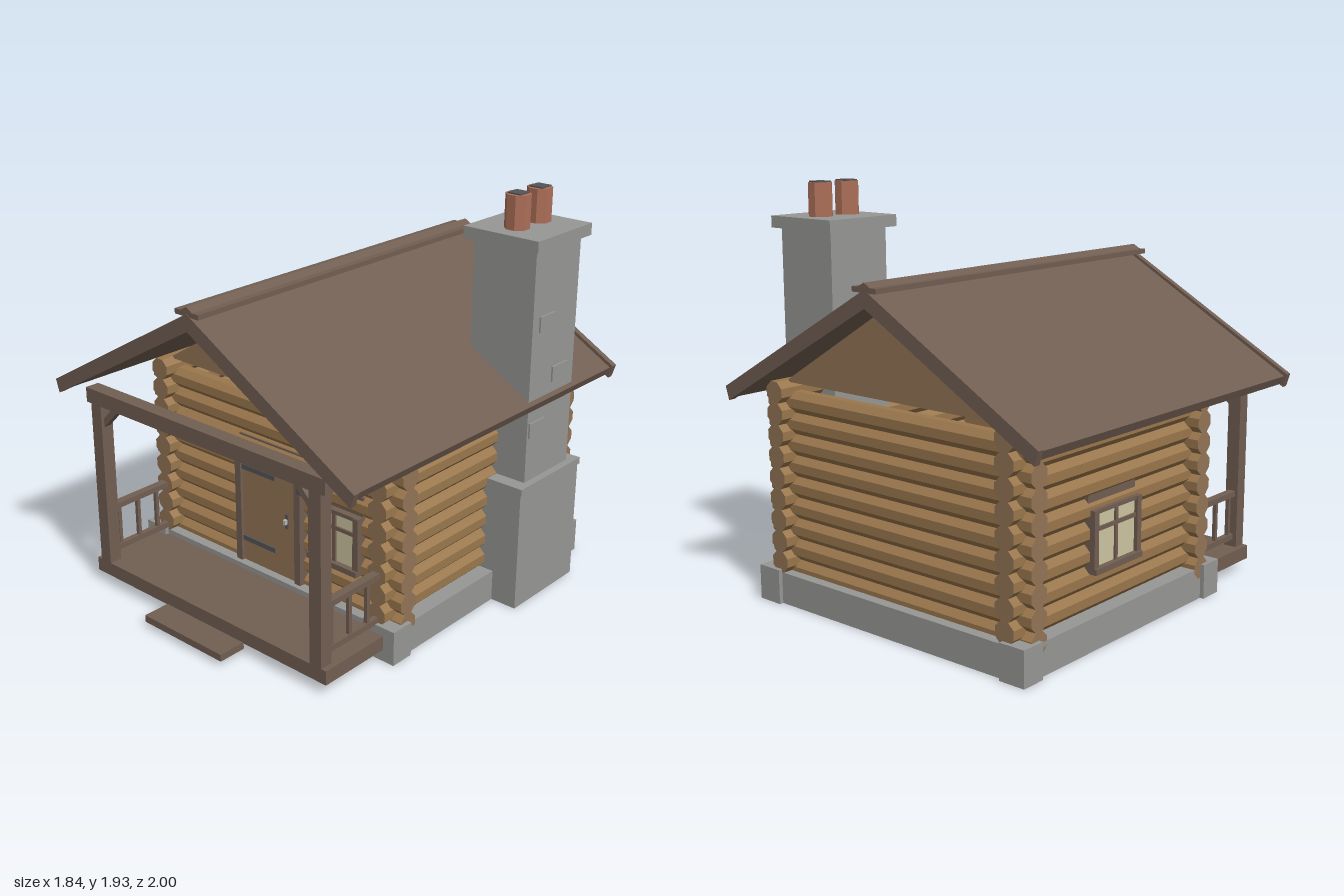
import * as THREE from 'three';

const mat = (name, color) => {
  const m = new THREE.MeshStandardMaterial({ color });
  m.name = name;
  return m;
};

export function createModel() {
  const root = new THREE.Group();
  root.name = 'logCabin';
  const M = {
    log: mat('log wood', 0x9a774d),
    plank: mat('plank wood', 0x927455),
    trim: mat('dark timber', 0x715e52),
    stone: mat('stone', 0x979795),
    clay: mat('clay', 0xad6f58),
    iron: mat('iron', 0x545557),
    glass: mat('window glass', 0xcdc4a0),
    metal: mat('bright metal', 0xb8b5aa),
  };

  const add = (parent, name, geo, m) => {
    const mesh = new THREE.Mesh(geo, m);
    mesh.name = name;
    parent.add(mesh);
    return mesh;
  };
  // Box given by its minimum and maximum on each axis
  const box = (name, m, x0, x1, y0, y1, z0, z1, parent = root) => {
    const b = add(parent, name, new THREE.BoxGeometry(x1 - x0, y1 - y0, z1 - z0), m);
    b.position.set((x0 + x1) / 2, (y0 + y1) / 2, (z0 + z1) / 2);
    return b;
  };
  // Outline in x/y, extruded from z0 to z1
  const prism = (name, m, pts, z0, z1) => {
    const shape = new THREE.Shape(pts.map(([x, y]) => new THREE.Vector2(x, y)));
    const geo = new THREE.ExtrudeGeometry(shape, { depth: z1 - z0, bevelEnabled: false });
    add(root, name, geo.translate(0, 0, z0), m);
  };

  // Stone footing with corner blocks
  box('foundation', M.stone, -0.78, 0.78, 0, 0.15, -0.92, 0.475);
  for (const s of [-1, 1]) {
    const x0 = s > 0 ? 0.67 : -0.8;
    box('cornerBlock', M.stone, x0, x0 + 0.13, 0, 0.165, 0.375, 0.495);
    box('cornerBlock', M.stone, x0, x0 + 0.13, 0, 0.165, -0.94, -0.82);
  }

  // Interlocking eight-sided logs, the two directions half a course apart
  const logGeo = (len) => {
    const g = new THREE.CylinderGeometry(0.054, 0.054, len, 8, 1, false, Math.PI / 8).toNonIndexed();
    g.computeVertexNormals();
    const sides = 8 * 6;
    g.clearGroups();
    g.addGroup(0, sides, 0);
    g.addGroup(sides, g.attributes.position.count - sides, 1);
    return g;
  };
  const logMats = [M.log, M.plank];
  const crossGeo = logGeo(1.56).rotateZ(Math.PI / 2);
  const sideGeo = logGeo(1.395).rotateX(Math.PI / 2);
  for (let i = 0; i < 9; i++) {
    for (const z of [0.375, -0.82])
      add(root, z > 0 ? 'frontLog' : 'backLog', crossGeo, logMats).position.set(0, 0.15 + i * 0.1, z);
    for (const x of [-0.68, 0.68])
      add(root, 'sideLog', sideGeo, logMats).position.set(x, 0.2 + i * 0.1, -0.2225);
  }

  // Gables
  const gable = [[-0.68, 1.04], [0.68, 1.04], [0, 1.455]];
  prism('frontGable', M.plank, gable, 0.345, 0.405);
  prism('backGable', M.plank, gable, -0.85, -0.79);

  // Roof, barge boards and ridge cap
  const chevron = (top, ox, oy, ix, iy, under) =>
    [[0, top], [-ox, oy], [-ix, iy], [0, under], [ix, iy], [ox, oy]];
  prism('roof', M.trim, chevron(1.52, 0.905, 1.0, 0.885, 0.96, 1.47), -0.976, 0.872);
  const barge = chevron(1.535, 0.92, 1.01, 0.9, 0.947, 1.457);
  prism('frontBargeBoard', M.trim, barge, 0.87, 0.9);
  prism('backBargeBoard', M.trim, barge, -1, -0.97);
  prism('ridgeCap', M.trim, [[-0.07, 1.522], [0.07, 1.522], [0.07, 1.545], [0.035, 1.545],
    [0, 1.565], [-0.035, 1.545], [-0.07, 1.545]], -1, 0.898);

  // Porch deck, step, beam
  box('porchDeck', M.trim, -0.74, 0.74, 0.057, 0.125, 0.47, 0.865);
  box('porchStep', M.trim, -0.247, 0.247, 0.026, 0.06, 0.86, 1.0);
  box('porchBeam', M.trim, -0.74, 0.74, 0.935, 1.007, 0.797, 0.868);
  // Posts, braces and side railings
  for (const s of [-1, 1]) {
    const x = s * 0.68;
    box('porchPost', M.trim, x - 0.033, x + 0.033, 0.12, 0.94, 0.8, 0.865);
    const brace = add(root, 'porchBrace', new THREE.BoxGeometry(0.15, 0.03, 0.035), M.trim);
    brace.position.set(s * 0.603, 0.893, 0.832);
    brace.rotation.z = -s * Math.PI / 4;
    box('topRail', M.trim, x - 0.02, x + 0.02, 0.383, 0.41, 0.47, 0.805);
    box('bottomRail', M.trim, x - 0.014, x + 0.014, 0.162, 0.19, 0.47, 0.805);
    for (const z of [0.77, 0.653, 0.536])
      box('baluster', M.trim, x - 0.009, x + 0.009, 0.18, 0.39, z - 0.009, z + 0.009);
  }

  // Door with frame, strap hinges and handle
  box('door', M.plank, -0.172, 0.172, 0.14, 0.697, 0.38, 0.435);
  for (const x of [-0.188, 0.188])
    box('doorJamb', M.trim, x - 0.018, x + 0.018, 0.14, 0.7, 0.38, 0.452);
  box('doorLintel', M.trim, -0.208, 0.208, 0.697, 0.79, 0.38, 0.414);
  for (const y of [0.268, 0.638])
    box('doorHinge', M.iron, -0.17, 0.038, y - 0.012, y + 0.012, 0.433, 0.442);
  box('handlePlate', M.iron, 0.106, 0.122, 0.41, 0.482, 0.433, 0.442);
  box('doorHandle', M.metal, 0.107, 0.121, 0.435, 0.458, 0.44, 0.458);

  // Wall lantern
  box('lantern', M.iron, 0.215, 0.26, 0.635, 0.7, 0.435, 0.482);
  box('lanternBracket', M.iron, 0.23, 0.246, 0.66, 0.712, 0.4, 0.44);

  // Framed four-pane window, facing +z, origin on the wall's centre line
  const addWindow = (name, w) => {
    const g = new THREE.Group();
    g.name = name;
    root.add(g);
    const h = w / 2;
    box('glass', M.glass, -h + 0.02, h - 0.02, -0.12, 0.13, 0.02, 0.057, g);
    for (const s of [-1, 1])
      box('windowJamb', M.trim, s * (h - 0.015) - 0.015, s * (h - 0.015) + 0.015, -0.14, 0.138, 0.02, 0.075, g);
    box('windowHead', M.trim, -h, h, 0.122, 0.14, 0.02, 0.07, g);
    box('windowLintel', M.trim, -h, h, 0.138, 0.232, 0, 0.038, g);
    box('windowSill', M.trim, -h, h, -0.142, -0.115, 0.02, 0.085, g);
    box('mullion', M.trim, -0.009, 0.009, -0.12, 0.13, 0.03, 0.066, g);
    box('glazingBar', M.trim, -h + 0.02, h - 0.02, 0.043, 0.061, 0.03, 0.066, g);
    return g;
  };
  addWindow('frontWindow', 0.295).position.set(0.4025, 0.465, 0.375);
  const leftWindow = addWindow('sideWindow', 0.34);
  leftWindow.position.set(-0.68, 0.465, -0.25);
  leftWindow.rotation.y = -Math.PI / 2;

  // Chimney
  box('chimneyBase', M.stone, 0.6, 0.912, 0, 0.59, -0.725, -0.255);
  box('chimneyShoulder', M.stone, 0.6, 0.92, 0.585, 0.617, -0.73, -0.25);
  box('chimneyStack', M.stone, 0.555, 0.885, 0.6, 1.715, -0.665, -0.32);
  box('chimneyCap', M.stone, 0.52, 0.915, 1.71, 1.765, -0.7, -0.283);
  // Raised stones on the stack
  for (const [y, z] of [[1.365, -0.427], [1.1, -0.547], [0.87, -0.387]])
    box('raisedStone', M.stone, 0.88, 0.893, y - 0.036, y + 0.036, z - 0.057, z + 0.057);
  box('raisedStone', M.stone, 0.546, 0.56, 1.329, 1.401, -0.55, -0.435);

  // Octagonal chimney pots with dark flues
  const potGeo = new THREE.CylinderGeometry(0.058, 0.058, 0.16, 8, 1, false, Math.PI / 8).toNonIndexed();
  potGeo.computeVertexNormals();
  for (const z of [-0.41, -0.575]) {
    add(root, 'chimneyPot', potGeo, M.clay).position.set(0.715, 1.84, z);
    box('flue', M.iron, 0.68, 0.75, 1.918, 1.926, z - 0.035, z + 0.035);
  }
  return root;
}
